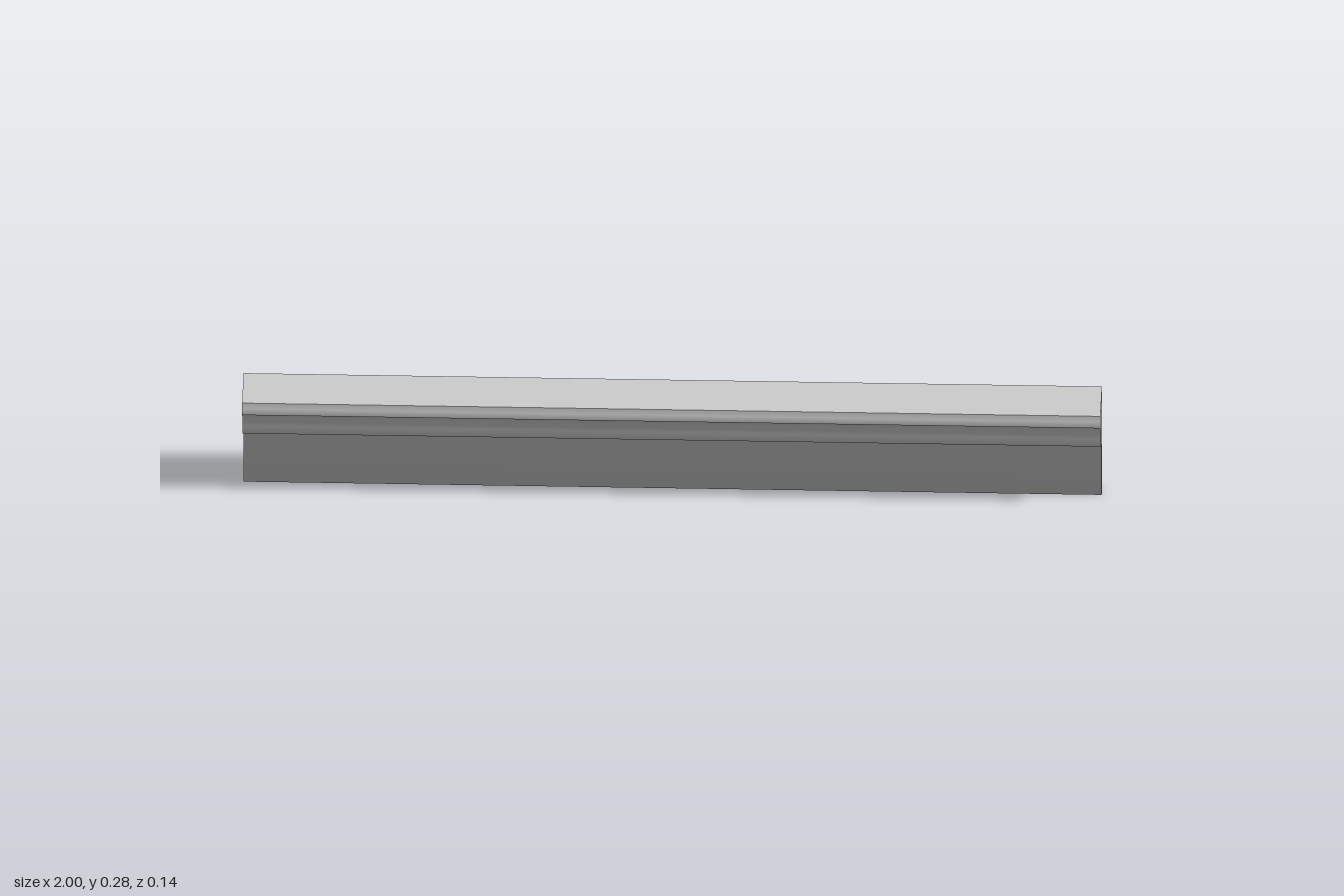
import * as THREE from 'three';

const HALF = 1; // half the length of the moulding

// Profile points as [z, y], running from the top lip down the front
const moulding = [
  [0.065, 0.278], [0.065, 0.262], [0.069, 0.25], [0.066, 0.246], [0.056, 0.243],
  [0.046, 0.232], [0.035, 0.222], [0.033, 0.211], [0.028, 0.205], [0.024, 0.191],
  [0.019, 0.171], [0.012, 0.163], [0.003, 0.159], [-0.006, 0.157], [-0.04, 0.143],
  [-0.04, 0],
];
const backBottom = [-0.069, 0];
const backTop = [-0.069, 0.278];

// Sweeps a line of profile points along x, with normals averaged at each point
function sweep(points) {
  const segmentNormals = points.slice(1).map(([z, y], i) =>
    new THREE.Vector3(0, z - points[i][0], points[i][1] - y).normalize());
  const positions = [], normals = [], index = [];
  points.forEach(([z, y], i) => {
    const before = segmentNormals[Math.max(i - 1, 0)];
    const after = segmentNormals[Math.min(i, segmentNormals.length - 1)];
    const n = before.clone().add(after).normalize();
    positions.push(-HALF, y, z, HALF, y, z);
    normals.push(n.x, n.y, n.z, n.x, n.y, n.z);
    if (i > 0) {
      const a = 2 * i - 2;
      index.push(a, a + 2, a + 1, a + 1, a + 2, a + 3);
    }
  });
  const geometry = new THREE.BufferGeometry();
  geometry.setAttribute('position', new THREE.Float32BufferAttribute(positions, 3));
  geometry.setAttribute('normal', new THREE.Float32BufferAttribute(normals, 3));
  geometry.setIndex(index);
  return geometry;
}

// Flat end of the profile; side is +1 for left, -1 for right
function endCap(side) {
  const outline = [...moulding, backBottom, backTop];
  const shape = new THREE.Shape(outline.map(([z, y]) => new THREE.Vector2(-side * z, y)));
  return new THREE.ShapeGeometry(shape).rotateY(side * Math.PI / 2).translate(side * HALF, 0, 0);
}

export function createModel() {
  const group = new THREE.Group();
  group.name = 'corniceMoulding';
  const grey = new THREE.MeshStandardMaterial({ color: 0xcccccc });
  grey.name = 'lightGrey';

  const add = (name, geometry) => {
    const mesh = new THREE.Mesh(geometry, grey);
    mesh.name = name;
    group.add(mesh);
  };

  // Soft moulded front, continuing around the lower edge
  add('mouldedFront', sweep([...moulding, backBottom]));
  // Flat back and top
  add('back', sweep([backBottom, backTop]));
  add('top', sweep([backTop, moulding[0]]));
  // Cut ends
  add('leftEnd', endCap(1));
  add('rightEnd', endCap(-1));
  return group;
}
